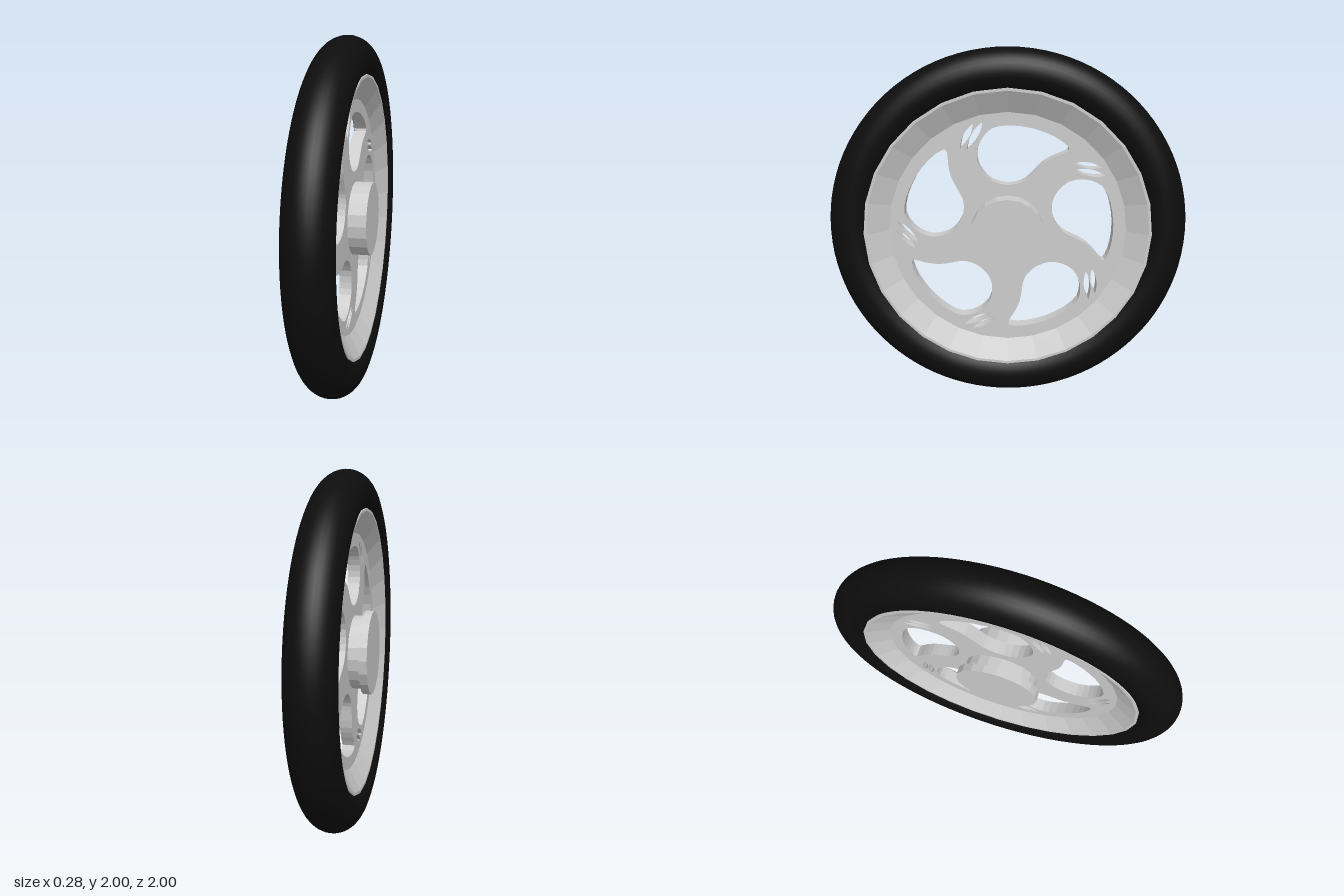
import * as THREE from 'three';

const metal = new THREE.MeshStandardMaterial({ color: 0xcccccc, flatShading: true });
const rubber = new THREE.MeshStandardMaterial({ color: 0x0d0d0d });

const SPOKES = 5;
const DISC_HALF = 0.036;

// Outline of one swept opening between two spokes
const OPENING = [
  [-0.134, 0.529], [-0.086, 0.577], [0.01, 0.594], [0.14, 0.577], [0.25, 0.535], [0.32, 0.487],
  [0.33, 0.455], [0.267, 0.428], [0.198, 0.39], [0.139, 0.332], [0.1, 0.294], [0.053, 0.273],
  [-0.01, 0.267], [-0.086, 0.289], [-0.139, 0.342], [-0.166, 0.406], [-0.16, 0.476],
].map(([x, y]) => new THREE.Vector2(x, y));

// Pointed lens-shaped slit
function slitPoints(cx, cy, half, width, angle) {
  const pts = [];
  const n = 8;
  for (let i = 0; i < n * 2; i++) {
    const t = i < n ? i / n : (i - n) / n;
    const side = i < n ? 1 : -1;
    const p = new THREE.Vector2(side * half * (1 - 2 * t), side * width * 4 * t * (1 - t));
    pts.push(p.rotateAround(new THREE.Vector2(), angle).add(new THREE.Vector2(cx, cy)));
  }
  return pts;
}

function addMesh(parent, name, geometry, material) {
  const mesh = new THREE.Mesh(geometry, material);
  mesh.name = name;
  parent.add(mesh);
  return mesh;
}

// Cylinder along x between two positions
function axleCylinder(radius, x0, x1) {
  return new THREE.CylinderGeometry(radius, radius, x1 - x0, 20)
    .rotateZ(-Math.PI / 2)
    .translate((x0 + x1) / 2, 0, 0);
}

export function createModel() {
  const wheel = new THREE.Group();
  wheel.name = 'wheel';
  const parts = new THREE.Group();
  parts.name = 'wheelParts';
  parts.position.y = 1;
  wheel.add(parts);

  // Tyre
  addMesh(parts, 'tyre', new THREE.TorusGeometry(0.875, 0.125, 32, 96).rotateY(Math.PI / 2), rubber);

  // Rim sloping from the lip down to the spoke disc on both sides
  const rimProfile = [
    [0.665, -DISC_HALF], [0.782, -0.102], [0.797, -0.102],
    [0.797, 0.102], [0.782, 0.102], [0.665, DISC_HALF],
  ].map(([r, x]) => new THREE.Vector2(r, x));
  addMesh(parts, 'rim', new THREE.LatheGeometry(rimProfile, 28).rotateZ(-Math.PI / 2), metal);

  // Spoke disc pierced by swept openings and paired slits
  const disc = new THREE.Shape().absarc(0, 0, 0.69, 0, Math.PI * 2, false);
  const opening = new THREE.SplineCurve([...OPENING, OPENING[0]]).getPoints(34).slice(0, -1);
  const cutouts = [
    opening,
    slitPoints(-0.222, 0.535, 0.076, 0.017, 1.09),
    slitPoints(-0.178, 0.535, 0.087, 0.019, 1.06),
  ];
  for (let i = 0; i < SPOKES; i++) {
    for (const outline of cutouts) {
      const turned = outline.map((p) => p.clone().rotateAround(new THREE.Vector2(), (i * 2 * Math.PI) / SPOKES));
      disc.holes.push(new THREE.Path(turned));
    }
  }
  const discGeometry = new THREE.ExtrudeGeometry(disc, {
    depth: DISC_HALF * 2, bevelEnabled: false, curveSegments: 28,
  });
  discGeometry.translate(0, 0, -DISC_HALF).rotateY(Math.PI / 2);
  addMesh(parts, 'spokeDisc', discGeometry, metal);

  // Hub with a wider cap on one end
  addMesh(parts, 'hub', axleCylinder(0.207, -0.11, 0.138), metal);
  addMesh(parts, 'hubCap', axleCylinder(0.237, -0.145, -0.1), metal);

  return wheel;
}
